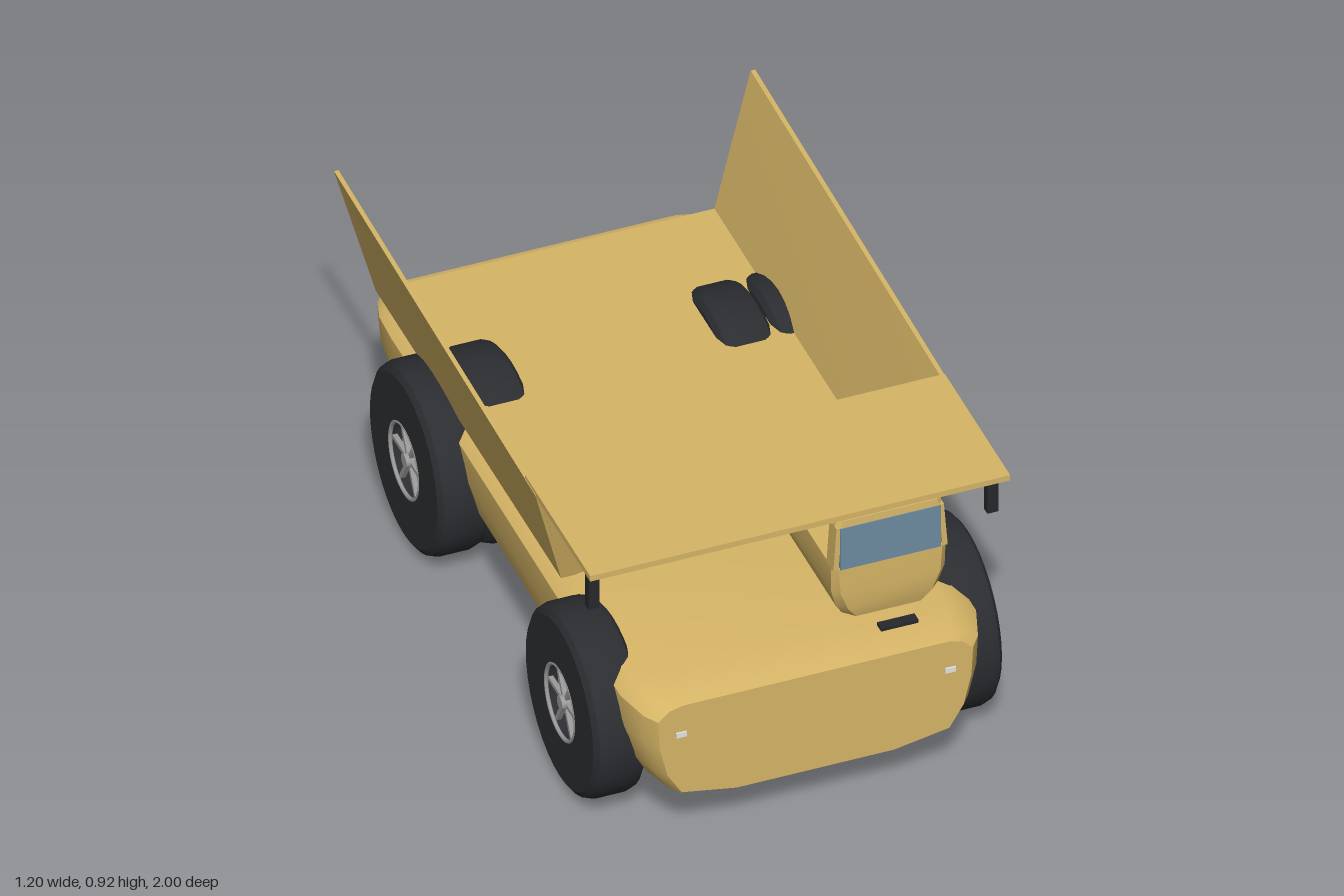
import * as THREE from 'three';
import { toCreasedNormals } from 'three/addons/utils/BufferGeometryUtils.js';

const paint = (color) => new THREE.MeshStandardMaterial({ color });
const GOLD = paint(0xd6b566), TYRE = paint(0x2b2d31), METAL = paint(0x9a9a9a);
const GLASS = paint(0x6c8ca2), DARK = paint(0x26282b), LAMP = paint(0xe4e4e0), RED = paint(0x9c3a22);

// Skin a closed solid over equal-length rings of [x, y, z] points
function loft(rings, crease = 0.5) {
  const n = rings[0].length, pos = rings.flat(2), tri = [];
  rings.slice(1).forEach((_, r) => {
    for (let i = 0; i < n; i++) {
      const a = r * n + i, b = r * n + (i + 1) % n;
      tri.push([a, b, a + n], [b, b + n, a + n]);
    }
  });
  const last = (rings.length - 1) * n;
  for (let i = 1; i < n - 1; i++) tri.push([0, i + 1, i], [last, last + i, last + i + 1]);
  // turn the faces outward whichever way the rings run
  const v = (i) => new THREE.Vector3(...pos.slice(i * 3, i * 3 + 3));
  const volume = tri.reduce((s, [a, b, c]) => s + v(a).dot(v(b).cross(v(c))), 0);
  const g = new THREE.BufferGeometry();
  g.setAttribute('position', new THREE.Float32BufferAttribute(pos, 3));
  g.setIndex(tri.flatMap(([a, b, c]) => (volume < 0 ? [a, c, b] : [a, b, c])));
  return toCreasedNormals(g, crease);
}

function add(parent, name, geometry, material, x = 0, y = 0, z = 0) {
  const m = new THREE.Mesh(geometry, material);
  m.name = name;
  m.position.set(x, y, z);
  parent.add(m);
  return m;
}

// Box given by its limits on each axis
function block(parent, name, material, [x0, x1], [y0, y1], [z0, z1]) {
  return add(parent, name, new THREE.BoxGeometry(x1 - x0, y1 - y0, z1 - z0), material,
    (x0 + x1) / 2, (y0 + y1) / 2, (z0 + z1) / 2);
}

// Thin plate from a corner loop and a thickness offset
const plate = (corners, [dx, dy, dz]) =>
  loft([corners, corners.map(([x, y, z]) => [x + dx, y + dy, z + dz])], 0.2);

// Hull cross-section at z: half width w, bottom and top heights
function hullRing([z, w, bottom, top]) {
  const half = [[0.5, 0], [0.85, 0.09], [0.94, 0.3], [0.99, 0.6], [1, 0.88], [0.93, 0.97], [0.84, 1]]
    .map(([u, t]) => [u * w, bottom + t * (top - bottom), z]);
  return [...half, ...half.map(([x, y]) => [-x, y, z]).reverse()];
}

// Horizontal cab section: rectangle with chamfered corners
function cabRing([y, x0, x1, z0, z1, c]) {
  return [[x0 + c, z0], [x1 - c, z0], [x1, z0 + c], [x1, z1 - c],
    [x1 - c, z1], [x0 + c, z1], [x0, z1 - c], [x0, z0 + c]].map(([x, z]) => [x, y, z]);
}

// Wheel with its outer face on +y
function makeWheel(name) {
  const wheel = new THREE.Group();
  wheel.name = name;
  const profile = [[0, -0.076], [0.245, -0.076], [0.262, -0.064], [0.27, -0.042], [0.27, 0.042],
    [0.262, 0.064], [0.245, 0.076], [0.112, 0.076], [0.108, 0.03], [0, 0.03]]
    .map(([r, y]) => new THREE.Vector2(r, y));
  add(wheel, 'tyre', toCreasedNormals(new THREE.LatheGeometry(profile, 36), 0.6), TYRE);
  add(wheel, 'rimDisc', new THREE.CylinderGeometry(0.107, 0.107, 0.01, 36), GOLD, 0, 0.033, 0);
  const ring = add(wheel, 'rimRing', new THREE.TorusGeometry(0.108, 0.006, 8, 36), METAL, 0, 0.072, 0);
  ring.rotation.x = Math.PI / 2;
  add(wheel, 'hub', new THREE.CylinderGeometry(0.02, 0.024, 0.04, 16), METAL, 0, 0.056, 0);
  for (let i = 0; i < 6; i++) {
    const a = i * Math.PI / 3 + Math.PI / 2;
    const spoke = add(wheel, 'spoke', new THREE.BoxGeometry(0.1, 0.014, 0.012), METAL,
      Math.cos(a) * 0.06, 0.058, -Math.sin(a) * 0.06);
    spoke.rotation.y = a;
  }
  return wheel;
}

function makeCab() {
  const cab = new THREE.Group();
  cab.name = 'cab';
  add(cab, 'cabBody', loft([
    [0.498, 0.17, 0.365, 0.47, 0.82, 0.03], [0.51, 0.145, 0.39, 0.46, 0.845, 0.03],
    [0.55, 0.122, 0.413, 0.455, 0.857, 0.025], [0.61, 0.105, 0.43, 0.455, 0.86, 0.02],
    [0.695, 0.104, 0.431, 0.455, 0.86, 0.015],
  ].map(cabRing), 0.6), GOLD);
  add(cab, 'cabRoof', loft([
    [0.825, 0.113, 0.42, 0.455, 0.86, 0.012], [0.85, 0.118, 0.415, 0.457, 0.858, 0.014],
    [0.86, 0.13, 0.403, 0.465, 0.85, 0.014],
  ].map(cabRing), 0.5), GOLD);
  // corner posts between body and roof
  for (const [bottom, top, dir] of [[0.104, 0.113, 1], [0.431, 0.42, -1]])
    for (const [z0, z1] of [[0.81, 0.86], [0.455, 0.5]])
      add(cab, 'cabPost', loft([[bottom, 0.69], [top, 0.83]].map(([x, y]) =>
        [[x, y, z0], [x + dir * 0.015, y, z0], [x + dir * 0.015, y, z1], [x, y, z1]])), GOLD);
  block(cab, 'cabBackWall', GOLD, [0.115, 0.42], [0.69, 0.83], [0.456, 0.468]);
  block(cab, 'windscreen', GLASS, [0.123, 0.411], [0.69, 0.828], [0.852, 0.862]);
  block(cab, 'seat', DARK, [0.22, 0.31], [0.69, 0.71], [0.57, 0.635]);
  const wheel = add(cab, 'steeringWheel', new THREE.TorusGeometry(0.025, 0.003, 6, 20), DARK, 0.265, 0.745, 0.69);
  wheel.rotation.x = 0.5;
  return cab;
}

function makeBed() {
  const bed = new THREE.Group();
  bed.name = 'dumpBed';
  add(bed, 'bedFloor', plate([[-0.475, 0.502, 0.37], [0.475, 0.502, 0.37],
    [0.48, 0.502, -0.95], [-0.48, 0.502, -0.95]], [0, -0.012, 0]), GOLD);
  add(bed, 'bedFrontWall', plate([[-0.475, 0.49, 0.368], [0.475, 0.49, 0.368],
    [0.59, 0.875, 0.478], [-0.59, 0.875, 0.478]], [0, 0, 0.012]), GOLD);
  for (const s of [1, -1])
    add(bed, 'bedSide', plate([[s * 0.485, 0.49, 0.38], [s * 0.49, 0.5, -0.95],
      [s * 0.602, 0.92, -0.97], [s * 0.602, 0.88, 0.49]], [-s * 0.013, 0, 0]), GOLD);
  block(bed, 'canopy', GOLD, [-0.6, 0.6], [0.873, 0.891], [0.41, 0.883]);
  return bed;
}

export function createModel() {
  const truck = new THREE.Group();
  truck.name = 'dumpTruck';

  // rounded hull, tapering at both ends
  add(truck, 'hull', loft([
    [0.995, 0.45, 0.155, 0.474], [0.96, 0.478, 0.15, 0.482], [0.87, 0.508, 0.146, 0.495],
    [0.4, 0.508, 0.15, 0.495], [-0.3, 0.505, 0.158, 0.493], [-0.8, 0.505, 0.17, 0.49],
    [-0.9, 0.5, 0.19, 0.486], [-0.965, 0.48, 0.21, 0.48], [-0.995, 0.458, 0.222, 0.474],
  ].map(hullRing), 0.65), GOLD);

  truck.add(makeBed(), makeCab());

  // single front wheels, double rear wheels
  for (const s of [1, -1]) {
    for (const [name, x, z] of [['frontWheel', 0.508, 0.62], ['rearOuterWheel', 0.508, -0.51], ['rearInnerWheel', 0.352, -0.51]]) {
      const wheel = makeWheel(name);
      wheel.position.set(s * x, 0.272, z);
      wheel.rotation.z = -s * Math.PI / 2;
      truck.add(wheel);
    }
    add(truck, 'headlight', new THREE.BoxGeometry(0.03, 0.016, 0.012), LAMP, s * 0.385, 0.38, 0.994);
    add(truck, 'tailLight', new THREE.BoxGeometry(0.03, 0.016, 0.012), RED, s * 0.385, 0.385, -0.994);
    add(truck, 'mirror', new THREE.BoxGeometry(0.032, 0.106, 0.026), DARK, s * 0.57, 0.792, 0.822);
    add(truck, 'mirrorStem', new THREE.BoxGeometry(0.008, 0.04, 0.008), DARK, s * 0.57, 0.86, 0.822);
  }

  // small steps above and below the nose
  block(truck, 'upperStep', DARK, [0.213, 0.32], [0.508, 0.518], [0.9, 0.93]);
  block(truck, 'lowerStep', DARK, [-0.32, -0.213], [0.14, 0.153], [0.9, 0.93]);
  return truck;
}
